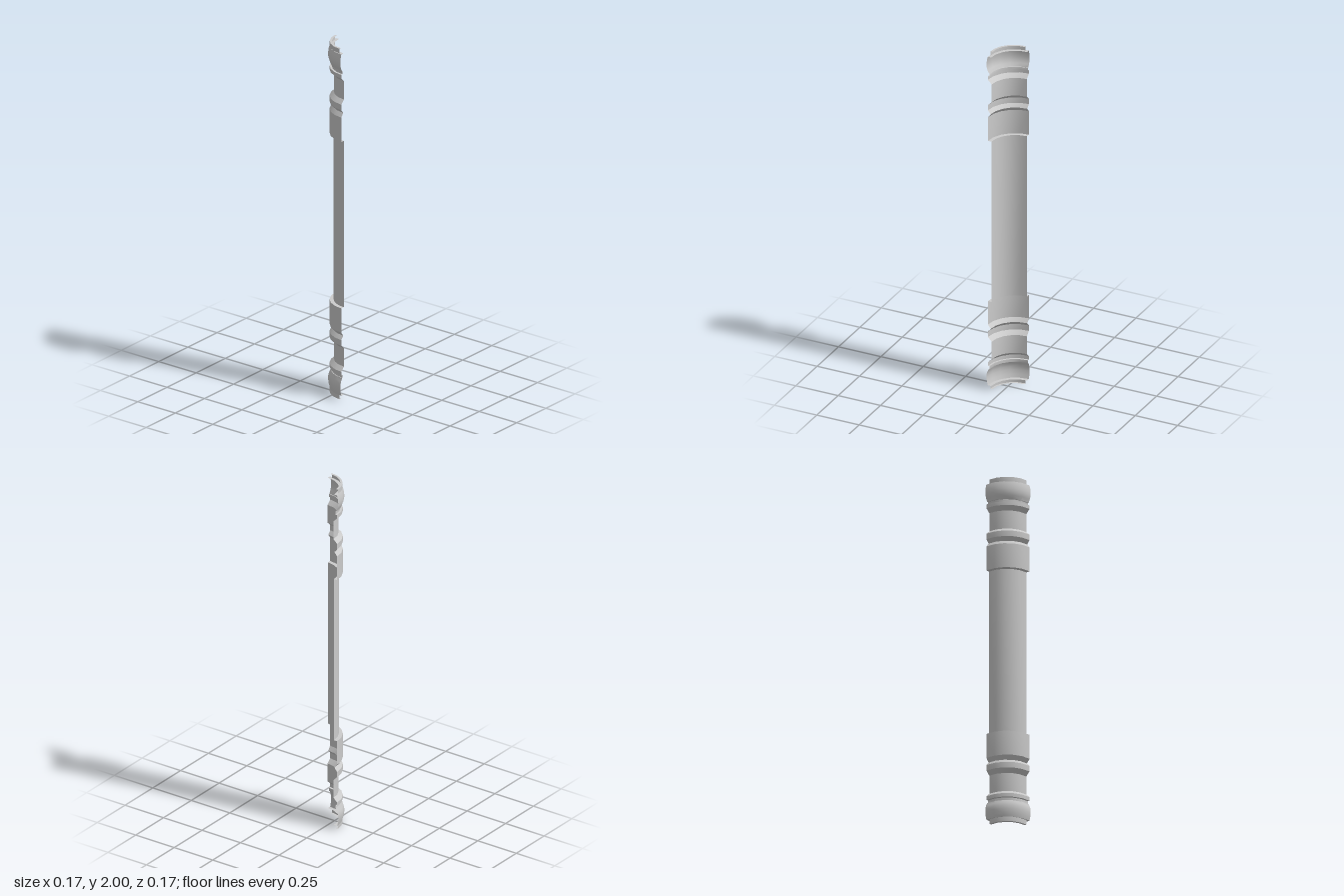
import * as THREE from 'three';
import { toCreasedNormals } from 'three/addons/utils/BufferGeometryUtils.js';

const material = new THREE.MeshStandardMaterial({ color: 0xcccccc, side: THREE.DoubleSide });

// Quarter-turn shell from a bottom-to-top [radius, y] profile; the axis stands at (axis, axis)
function shell(name, profile, axis = 0.084) {
  const points = profile.map(([r, y]) => new THREE.Vector2(r, y));
  const lathe = new THREE.LatheGeometry(points, 5, Math.PI, Math.PI / 2);
  const mesh = new THREE.Mesh(toCreasedNormals(lathe, THREE.MathUtils.degToRad(32)), material);
  mesh.position.set(axis, 0, axis);
  mesh.name = name;
  return mesh;
}

// Same profile reflected to the other end of the column
const flip = (profile) => profile.map(([r, y]) => [r, 2 - y]).reverse();

// Profiles of the lower end
const endParts = {
  bulge: [
    [0.141, 0.026], [0.161, 0.026], [0.166, 0.045], [0.169, 0.07], [0.168, 0.09],
    [0.163, 0.108], [0.154, 0.125], [0.15, 0.125], [0.15, 0.142],
  ],
  lowerRing: [[0.15, 0.142], [0.161, 0.142], [0.161, 0.163], [0.138, 0.185]],
  neck: [[0.138, 0.185], [0.138, 0.29]],
  upperRing: [[0.138, 0.29], [0.161, 0.312], [0.161, 0.344], [0.144, 0.364]],
  sleeve: [[0.144, 0.364], [0.161, 0.386], [0.161, 0.525], [0.14, 0.525]],
};

// Smaller inset strip at the very end, with its flat rim
const endStrip = [[0.126, 0], [0.138, 0], [0.138, 0.026]];

export function createModel() {
  const model = new THREE.Group();
  model.name = 'quarterColumn';

  model.add(shell('shaft', [[0.14, 0.525], [0.14, 1.475]]));

  for (const [end, place] of [['base', (p) => p], ['capital', flip]]) {
    const group = new THREE.Group();
    group.name = end;
    for (const [name, profile] of Object.entries(endParts)) {
      group.add(shell(name, place(profile)));
    }
    group.add(shell('endStrip', place(endStrip), 0.068));
    model.add(group);
  }
  return model;
}
